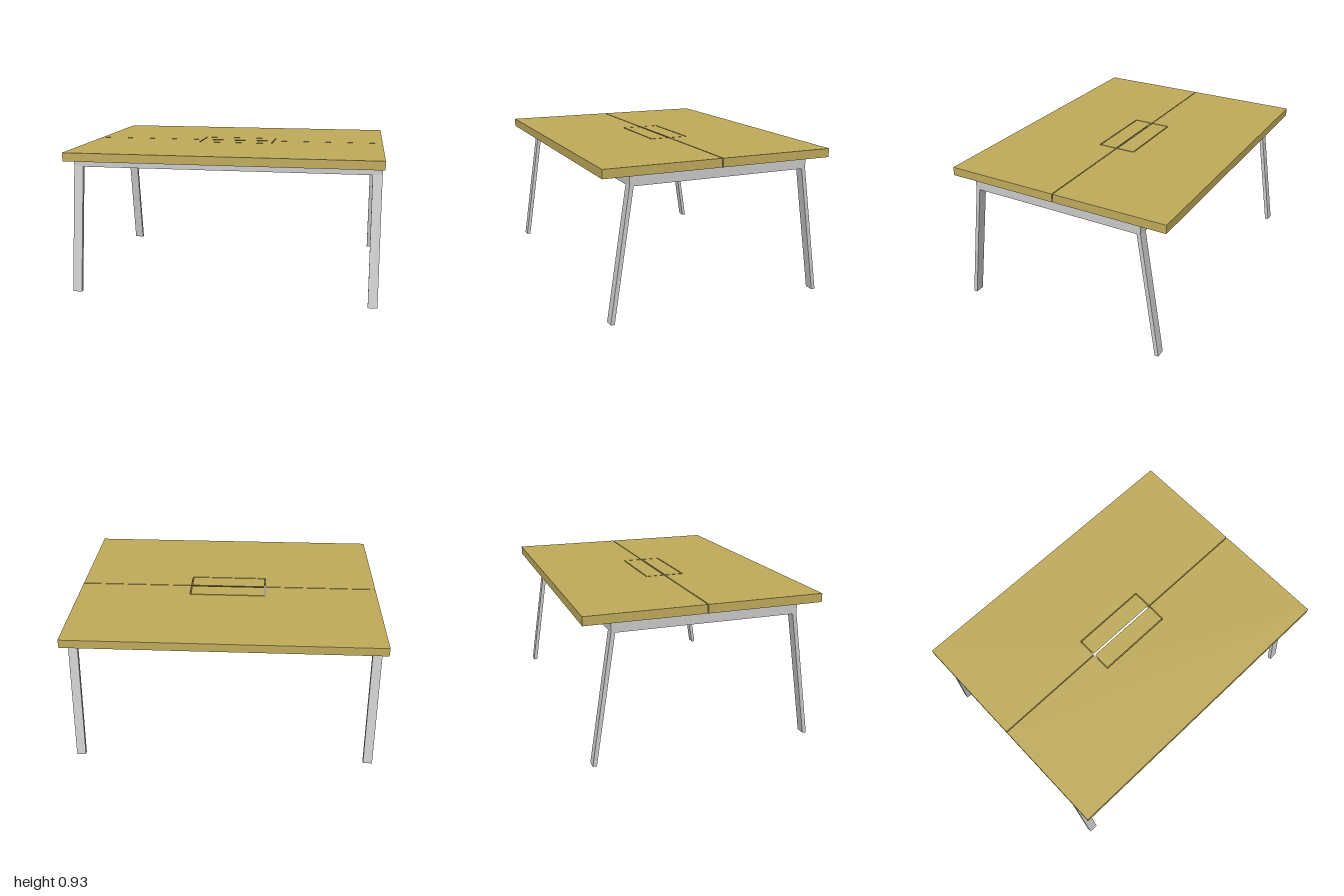
import * as THREE from 'three';

const TOP = 0.93, UNDER = 0.875, RAIL = 0.815;

export function createModel() {
  const model = new THREE.Group();
  const wood = new THREE.MeshStandardMaterial({ color: 0xc0ab5b });
  const metal = new THREE.MeshStandardMaterial({ color: 0xcccccc });

  const add = (parent, name, geometry, material) => {
    const mesh = new THREE.Mesh(geometry, material);
    mesh.name = name;
    parent.add(mesh);
    return mesh;
  };

  // Extrudes a (z, y) profile along x, from x0 to x1
  const alongX = (points, x0, x1) => {
    const shape = new THREE.Shape(points.map(([z, y]) => new THREE.Vector2(-z, y)));
    const g = new THREE.ExtrudeGeometry(shape, { depth: x1 - x0, bevelEnabled: false });
    return g.rotateY(Math.PI / 2).translate(x0, 0, 0);
  };

  // Half of the top, with a round-cornered notch for the cable hatch
  const w = 0.254, d = 0.13, r = 0.012, gap = 0.003;
  const panel = new THREE.Shape();
  panel.moveTo(w, gap);
  panel.lineTo(1, gap);
  panel.lineTo(1, 0.75);
  panel.lineTo(-1, 0.75);
  panel.lineTo(-1, gap);
  panel.lineTo(-w, gap);
  panel.lineTo(-w, d - r);
  panel.quadraticCurveTo(-w, d, -w + r, d);
  panel.lineTo(w - r, d);
  panel.quadraticCurveTo(w, d, w, d - r);
  panel.closePath();
  const panelGeo = new THREE.ExtrudeGeometry(panel, {
    depth: TOP - UNDER, bevelEnabled: false, curveSegments: 5,
  });
  panelGeo.rotateX(-Math.PI / 2).translate(0, UNDER, 0);

  // Hatch flap, its inner edge bevelled towards the underside
  const flapGeo = alongX(
    [[-0.006, TOP], [-0.123, TOP], [-0.123, UNDER], [-0.058, UNDER]], -0.247, 0.247);

  // Splayed leg, upright where it meets the rails
  const legProfile = [
    [-0.585, UNDER], [-0.585, 0.82], [-0.71, 0],
    [-0.685, 0], [-0.56, RAIL], [-0.56, UNDER],
  ];
  const longRailGeo = new THREE.BoxGeometry(1.86, UNDER - RAIL, 0.025)
    .translate(0, (UNDER + RAIL) / 2, -0.5725);
  const sideRailGeo = new THREE.BoxGeometry(0.06, UNDER - RAIL, 1.12)
    .translate(0.96, (UNDER + RAIL) / 2, 0);

  // The back half, then the same turned round for the front
  ['back', 'front'].forEach((side, i) => {
    const half = new THREE.Group();
    half.name = side + 'Half';
    half.rotation.y = i * Math.PI;
    add(half, 'topPanel', panelGeo, wood);
    add(half, 'hatchFlap', flapGeo, wood);
    add(half, 'longRail', longRailGeo, metal);
    add(half, 'sideRail', sideRailGeo, metal);
    for (const x of [-0.99, 0.93]) {
      add(half, 'leg', alongX(legProfile, x, x + 0.06), metal);
    }
    model.add(half);
  });

  return model;
}
